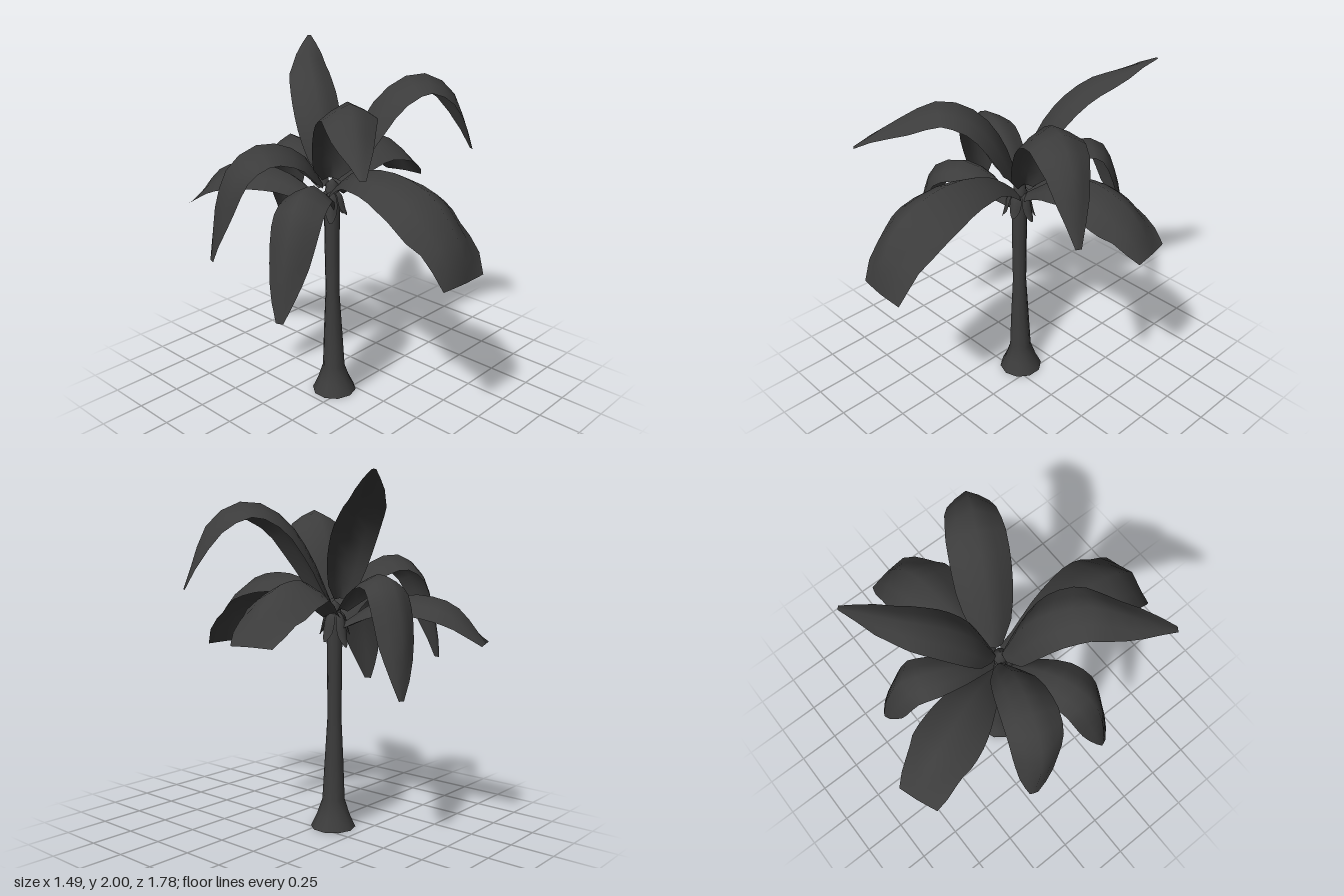
import * as THREE from 'three';

const material = new THREE.MeshStandardMaterial({ color: 0x3c3c3c, roughness: 0.9, side: THREE.DoubleSide });

// Linear interpolation through evenly spaced values
function sample(values, t) {
  const f = t * (values.length - 1);
  const i = Math.min(Math.floor(f), values.length - 2);
  return THREE.MathUtils.lerp(values[i], values[i + 1], f - i);
}

// A folded leaf blade: ridge along the spine, both halves drooping away from it.
// A higher "late" moves the widest place towards the tip.
function makeFrond({ spine, width, tip, late = 1, fold = 0.6 }) {
  const curve = new THREE.CatmullRomCurve3(spine.map(p => new THREE.Vector3(...p)), false, 'centripetal');
  const first = curve.getPoint(0), last = curve.getPoint(1);
  const side = new THREE.Vector3(last.z - first.z, 0, first.x - last.x).normalize();
  const profile = [0.28, 0.62, 0.82, 0.95, 1, 0.98, 0.86, 0.54 + tip * 0.42, tip];
  const rows = 12, across = [-1, -0.55, 0, 0.55, 1];
  const positions = [], indices = [];
  for (let i = 0; i <= rows; i++) {
    const t = i / rows;
    const point = curve.getPointAt(t);
    const up = new THREE.Vector3().crossVectors(curve.getTangentAt(t), side).normalize();
    const half = width * sample(profile, Math.pow(t, late));
    const droop = half * fold * Math.min(1, (1 - t) * 4 + 0.1);
    for (const a of across) {
      const v = point.clone().addScaledVector(side, a * half);
      v.addScaledVector(up, -droop * Math.pow(Math.abs(a), 1.3));
      positions.push(v.x, v.y, v.z);
    }
  }
  const n = across.length;
  for (let i = 0; i < rows; i++) {
    for (let j = 0; j < n - 1; j++) {
      const a = i * n + j, b = a + 1, c = a + n, d = c + 1;
      indices.push(a, b, c, b, d, c);
    }
  }
  const geometry = new THREE.BufferGeometry();
  geometry.setAttribute('position', new THREE.Float32BufferAttribute(positions, 3));
  geometry.setIndex(indices);
  geometry.computeVertexNormals();
  return new THREE.Mesh(geometry, material);
}

// Slender trunk, open underneath, with a flared foot and a slight bend
function makeTrunk() {
  const profile = [[0.13, 0.005], [0.095, 0.08], [0.065, 0.17], [0.054, 0.4], [0.04, 0.66],
    [0.043, 0.95], [0.045, 1.18], [0.035, 1.3], [0, 1.33]];
  const geometry = new THREE.LatheGeometry(profile.map(p => new THREE.Vector2(...p)), 10);
  const pos = geometry.attributes.position;
  for (let i = 0; i < pos.count; i++) {
    const y = pos.getY(i);
    pos.setX(i, pos.getX(i) - 0.088 - 0.009 * Math.sin(y * 2));
    pos.setZ(i, pos.getZ(i) - 0.067);
  }
  return new THREE.Mesh(geometry, material);
}

// Spine points run from the crown to the leaf tip
const fronds = {
  frontFrond: { width: 0.22, tip: 0.7, late: 1.4, spine: [[-0.1, 1.27, -0.05], [-0.12, 1.41, 0.12],
    [-0.13, 1.47, 0.38], [-0.14, 1.42, 0.63], [-0.15, 1.31, 0.77], [-0.14, 1.17, 0.85], [-0.14, 1.01, 0.88]] },
  leftFrond: { width: 0.2, tip: 0.62, late: 1.4, spine: [[-0.06, 1.26, -0.09], [0.1, 1.38, -0.12],
    [0.3, 1.46, -0.16], [0.5, 1.43, -0.18], [0.63, 1.33, -0.21], [0.73, 1.16, -0.23]] },
  frontLeftFrond: { width: 0.155, tip: 0.1, late: 0.7, spine: [[-0.06, 1.32, -0.07], [0.06, 1.59, -0.02],
    [0.2, 1.79, 0.05], [0.38, 1.87, 0.14], [0.56, 1.77, 0.23], [0.69, 1.41, 0.3]] },
  frontRightFrond: { width: 0.155, tip: 0.1, late: 0.65, spine: [[-0.11, 1.34, -0.07], [-0.14, 1.6, 0.02],
    [-0.21, 1.77, 0.13], [-0.32, 1.84, 0.28], [-0.46, 1.75, 0.44], [-0.62, 1.59, 0.64]] },
  backLeftHighFrond: { width: 0.13, tip: 0.08, late: 0.75, spine: [[-0.1, 1.34, -0.1], [-0.07, 1.6, -0.17],
    [0, 1.78, -0.28], [0.09, 1.89, -0.41], [0.2, 1.94, -0.53], [0.33, 2, -0.66]] },
  backFrond: { width: 0.125, tip: 0.12, spine: [[-0.1, 1.28, -0.11], [-0.07, 1.42, -0.26],
    [-0.02, 1.49, -0.43], [0.05, 1.45, -0.57], [0.1, 1.22, -0.67], [0.15, 0.87, -0.71]] },
  backRightFrond: { width: 0.18, tip: 0.65, late: 1.2, spine: [[-0.12, 1.2, -0.11], [-0.19, 1.33, -0.3],
    [-0.27, 1.37, -0.5], [-0.34, 1.32, -0.7], [-0.41, 1.12, -0.86]] },
  rightBackFrond: { width: 0.145, tip: 0.16, late: 0.8, spine: [[-0.13, 1.3, -0.1], [-0.27, 1.5, -0.125],
    [-0.48, 1.58, -0.19], [-0.64, 1.5, -0.25], [-0.71, 1.33, -0.29], [-0.735, 0.96, -0.34]] },
  rightFrontFrond: { width: 0.135, tip: 0.15, late: 0.9, spine: [[-0.13, 1.18, -0.06], [-0.28, 1.34, 0.01],
    [-0.43, 1.39, 0.08], [-0.58, 1.32, 0.14], [-0.67, 1.12, 0.17], [-0.735, 0.77, 0.185]] },
};

// Short dry leaf stubs hanging around the top of the trunk
function makeStub(angle, length) {
  const at = (r, y) => [-0.097 + Math.sin(angle) * r, y, -0.067 + Math.cos(angle) * r];
  return makeFrond({ width: 0.035, tip: 0.2, spine: [at(0.02, 1.27), at(0.055, 1.25), at(0.06 + length * 0.25, 1.25 - length)] });
}

export function createModel() {
  const model = new THREE.Group();
  model.name = 'palmTree';

  const trunk = makeTrunk();
  trunk.name = 'trunk';
  model.add(trunk);

  const crown = new THREE.Group();
  crown.name = 'crown';
  for (const [name, spec] of Object.entries(fronds)) {
    const frond = makeFrond(spec);
    frond.name = name;
    crown.add(frond);
  }
  for (let i = 0; i < 5; i++) {
    const stub = makeStub(0.4 + i * Math.PI * 0.4, 0.12 + 0.03 * (i % 3));
    stub.name = 'leafStub';
    crown.add(stub);
  }
  model.add(crown);
  return model;
}
